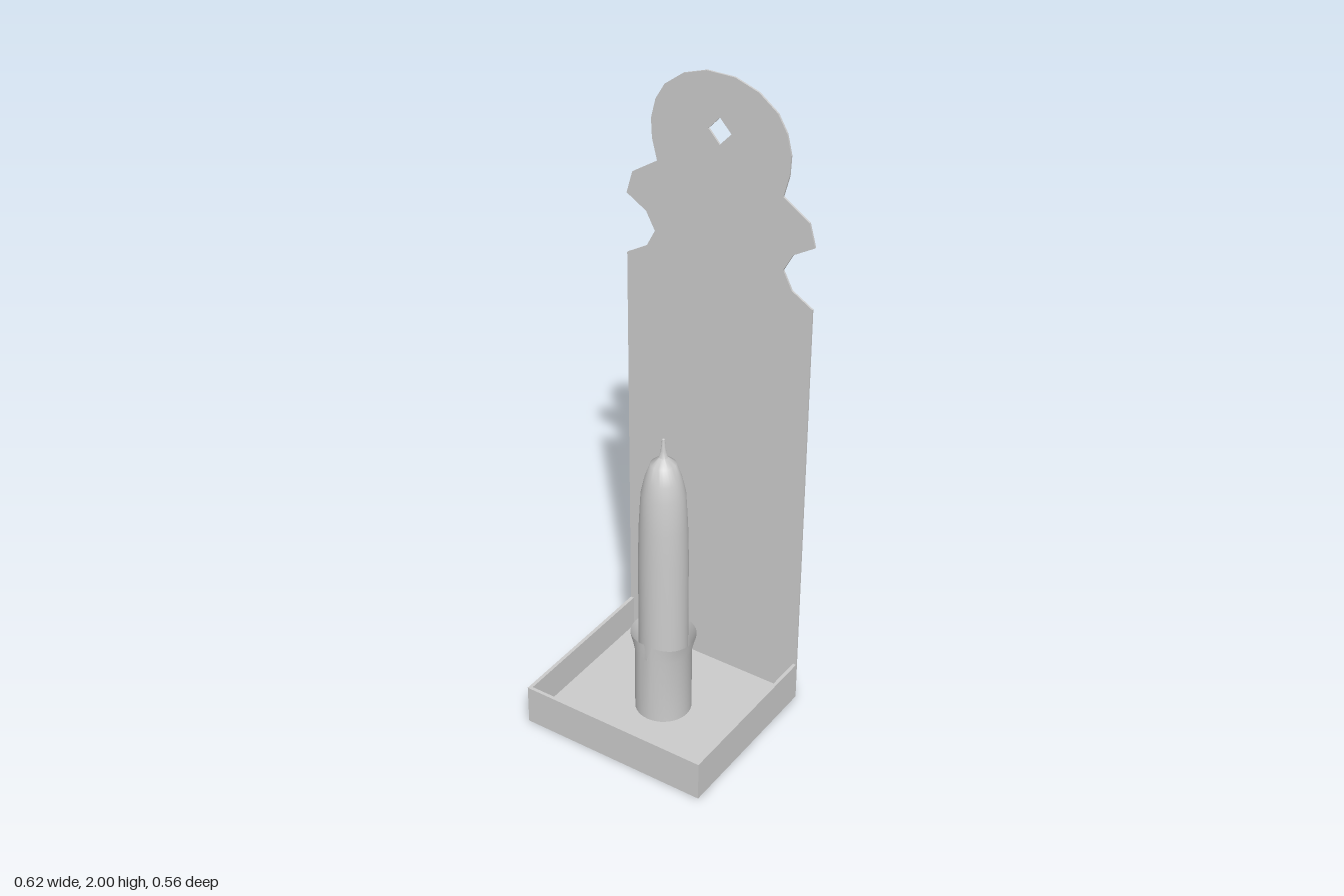
import * as THREE from 'three';
import { toCreasedNormals } from 'three/addons/utils/BufferGeometryUtils.js';

const grey = new THREE.MeshStandardMaterial({ color: 0xcccccc });
const thin = new THREE.MeshStandardMaterial({ color: 0xcccccc, side: THREE.DoubleSide });

const W = 0.62, D = 0.556, H = 0.13, T = 0.011, FLOOR = 0.02;

function add(parent, name, geometry, material = grey) {
  const mesh = new THREE.Mesh(geometry, material);
  mesh.name = name;
  parent.add(mesh);
  return mesh;
}

// Shallow open tray: floor plus side and front walls
function makeTray() {
  const tray = new THREE.Group();
  tray.name = 'tray';
  add(tray, 'trayFloor', new THREE.BoxGeometry(W, FLOOR, D)).position.y = FLOOR / 2;
  for (const s of [-1, 1]) {
    add(tray, s > 0 ? 'leftWall' : 'rightWall', new THREE.BoxGeometry(T, H, D))
      .position.set(s * (W - T) / 2, H / 2, 0);
  }
  add(tray, 'frontWall', new THREE.BoxGeometry(W - 2 * T, H, T)).position.set(0, H / 2, (D - T) / 2);
  return tray;
}

// Tall back plate with mirrored scalloped outline and a diamond hanging hole
function makeBackPlate() {
  const half = [
    [0.31, 0], [0.31, 1.38], [0.242, 1.42], [0.213, 1.475], [0.243, 1.53], [0.31, 1.57],
    [0.29, 1.64], [0.205, 1.695], [0.222, 1.76], [0.225, 1.82], [0.21, 1.88],
    [0.18, 1.93], [0.12, 1.975], [0.045, 2],
  ];
  const outline = [...half, ...half.map(([x, y]) => [-x, y]).reverse()];
  const shape = new THREE.Shape(outline.map(([x, y]) => new THREE.Vector2(x, y)));
  const hole = [[0, 1.795], [-0.037, 1.835], [0, 1.875], [0.037, 1.835]];
  shape.holes.push(new THREE.Path(hole.map(([x, y]) => new THREE.Vector2(x, y))));
  const geometry = new THREE.ExtrudeGeometry(shape, { depth: 0.006, bevelEnabled: false });
  return geometry.translate(0, 0, -D / 2);
}

// Thin cup whose angular rim flares sideways and has a V notch at the front
function makeCup() {
  const rim = [[0, 0.084], [10, 0.085], [53, 0.1], [93, 0.102], [131, 0.1], [162, 0.096], [180, 0.091]];
  const rimRadius = (deg) => {
    const i = Math.max(1, rim.findIndex(([a]) => a >= deg - 1e-3));
    const [a0, r0] = rim[i - 1], [a1, r1] = rim[i];
    return r0 + (r1 - r0) * (deg - a0) / (a1 - a0);
  };
  const geometry = new THREE.CylinderGeometry(1, 1, 2, 40, 2, true);
  const p = geometry.attributes.position;
  for (let i = 0; i < p.count; i++) {
    const x = p.getX(i), z = p.getZ(i), row = p.getY(i);
    const deg = Math.min(179.99, Math.abs(Math.atan2(x, z)) * 180 / Math.PI);
    const notched = deg < 1;
    const r = row > 0.5 ? (notched ? 0.088 : rimRadius(deg)) : 0.087;
    const y = row < -0.5 ? FLOOR : row < 0.5 ? 0.245 : notched ? 0.25 : 0.3;
    p.setXYZ(i, x * r, y, z * r);
  }
  return toCreasedNormals(geometry, 0.5);
}

// Tapering candle ending in a fine wick
function makeCandle() {
  const profile = [
    [0, FLOOR], [0.075, FLOOR], [0.075, 0.58], [0.072, 0.7], [0.066, 0.81], [0.055, 0.86],
    [0.038, 0.91], [0.013, 0.932], [0.008, 0.955], [0.004, 0.992], [0, 0.994],
  ].map(([x, y]) => new THREE.Vector2(x, y));
  return toCreasedNormals(new THREE.LatheGeometry(profile, 32), 0.7);
}

export function createModel() {
  const model = new THREE.Group();
  model.name = 'candleSconce';
  model.add(makeTray());
  add(model, 'backPlate', makeBackPlate());
  add(model, 'candleCup', makeCup(), thin);
  add(model, 'candle', makeCandle());
  return model;
}
